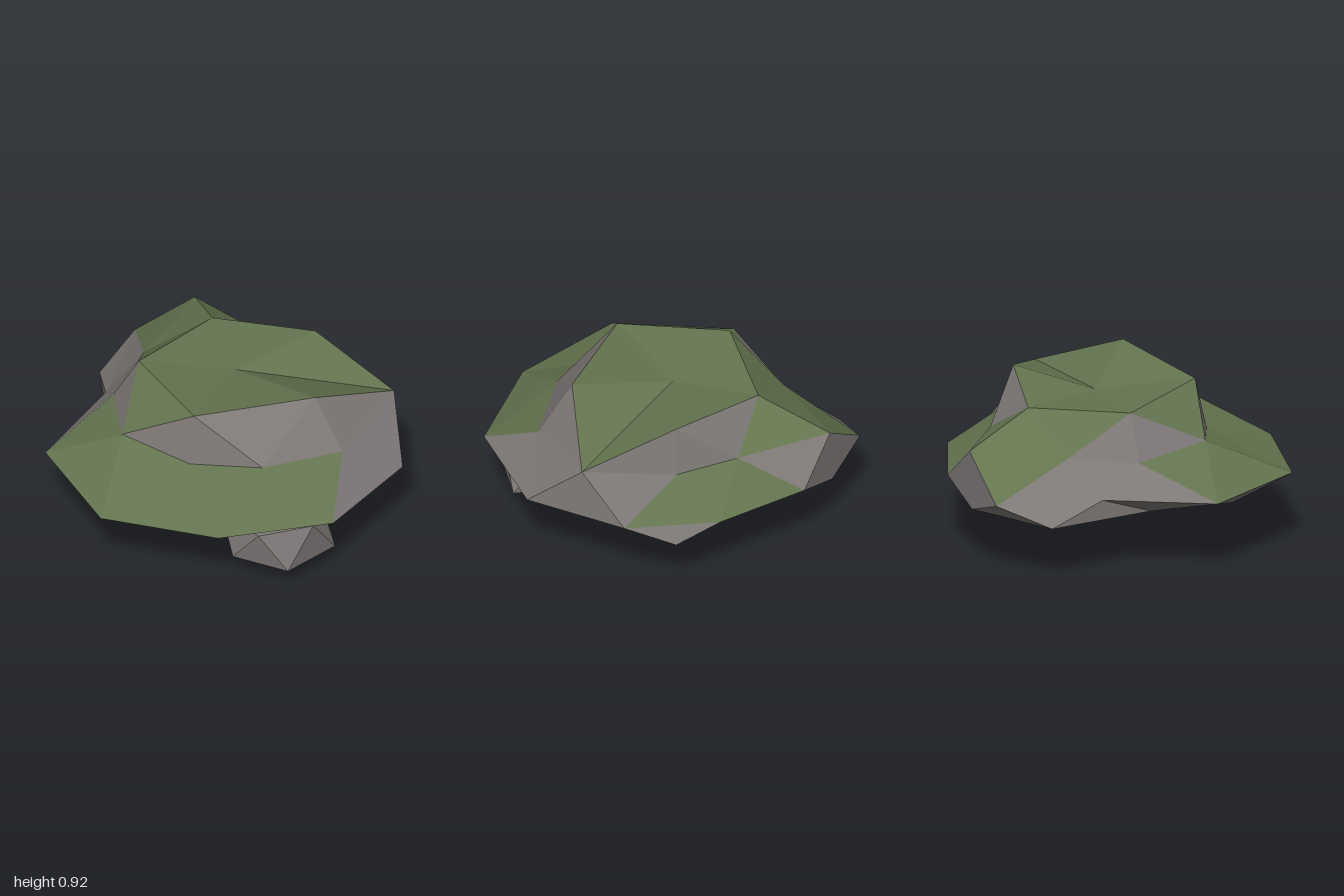
import * as THREE from 'three';

// Rings run counter-clockwise seen from above, starting at the front.
const under = [[0.25, 0.32, 0.71], [0.62, 0.33, 0.42], [0.74, 0.325, 0.01], [0.43, 0.315, -0.48], [0.26, 0.33, -1],
  [-0.21, 0.3, -0.75], [-0.77, 0.32, -0.66], [-0.99, 0.32, -0.14], [-0.52, 0.31, 0.31], [-0.25, 0.305, 0.71]];
const rim = [[-0.02, 0.43, 0.995], [0.6, 0.43, 0.71], [1, 0.43, 0.19], [0.96, 0.43, -0.46], [0.53, 0.43, -0.89],
  [0, 0.43, -1], [-0.54, 0.43, -0.86], [-1, 0.43, -0.46], [-0.75, 0.43, 0.09], [-0.65, 0.43, 0.73]];
const ledge = [[-0.24, 0.655, 0.55], [0.17, 0.59, 0.45], [0.55, 0.645, 0.27], [0.79, 0.64, -0.14], [0.71, 0.715, -0.68],
  [0.17, 0.61, -0.73], [-0.2, 0.62, -0.7], [-0.75, 0.655, -0.68], [-0.66, 0.63, -0.13], [-0.56, 0.6, 0.25]];
const front = [0.15, 0.88, 0.39], left = [0.59, 0.92, -0.14], back = [0.15, 0.87, -0.66];
const backRight = [-0.41, 0.82, -0.43], right = [-0.44, 0.85, 0.17];
const plateau = [front, front, left, left, ledge[4], back, backRight, backRight, right, right];

// Small boulder rings
const boulderLow = [[0.52, 0.135, 0.49], [0.84, 0.13, 0.39], [0.88, 0.12, 0.03], [0.53, 0.14, -0.05], [0.32, 0.135, 0.29]];
const boulderHigh = [[0.69, 0.35, 0.47], [0.88, 0.37, 0.22], [0.71, 0.36, -0.03], [0.38, 0.35, 0.06], [0.35, 0.35, 0.4]];

const shift = (ring) => [...ring.slice(1), ring[0]];

// Collects triangles, skipping those with a repeated corner
function addTri(list, a, b, c) {
  if (a !== b && b !== c && a !== c) list.push(...a, ...b, ...c);
}

// Joins two rings; two letters per step choose grass (g) or rock (k)
function addBand(lists, lower, upper, code) {
  const n = lower.length;
  for (let i = 0; i < n; i++) {
    const j = (i + 1) % n;
    const [first, second] = code ? code.split(' ')[i] : 'kk';
    addTri(lists[first], lower[i], lower[j], upper[i]);
    addTri(lists[second], lower[j], upper[j], upper[i]);
  }
}

// Closes a ring with a fan to one point
function addFan(list, ring, tip, down) {
  ring.forEach((p, i) => {
    const q = ring[(i + 1) % ring.length];
    if (down) addTri(list, q, p, tip);
    else addTri(list, p, q, tip);
  });
}

function makeMesh(name, list, material) {
  const geometry = new THREE.BufferGeometry();
  geometry.setAttribute('position', new THREE.Float32BufferAttribute(list, 3));
  geometry.computeVertexNormals();
  const mesh = new THREE.Mesh(geometry, material);
  mesh.name = name;
  return mesh;
}

export function createModel() {
  const rock = new THREE.MeshStandardMaterial({ color: 0x7e7977, flatShading: true });
  rock.name = 'rock grey';
  const grass = new THREE.MeshStandardMaterial({ color: 0x64744f, flatShading: true });
  grass.name = 'moss green';

  // Main slab: underside, rim, slopes, cliffs and plateau
  const slab = { g: [], k: [] };
  addFan(slab.k, under, [-0.1, 0.33, 0], true);
  addBand(slab, under, shift(rim));
  addBand(slab, rim, shift(ledge), 'gg gg kk kk gg gk kg kk kg gg');
  addBand(slab, ledge, plateau, 'kk kk kk kk kk kk gg gg kk kg');
  addFan(slab.g, plateau, [0, 0.82, -0.15], false);

  // Boulder hanging below the slab
  const boulder = { k: [] };
  addFan(boulder.k, boulderLow, [0.6, 0, 0.22], true);
  addBand(boulder, boulderLow, boulderHigh);
  addFan(boulder.k, boulderHigh, [0.6, 0.4, 0.22], false);

  const group = new THREE.Group();
  group.name = 'mossyRock';
  group.add(
    makeMesh('rockSlab', slab.k, rock),
    makeMesh('mossPatches', slab.g, grass),
    makeMesh('lowerBoulder', boulder.k, rock),
  );
  return group;
}
